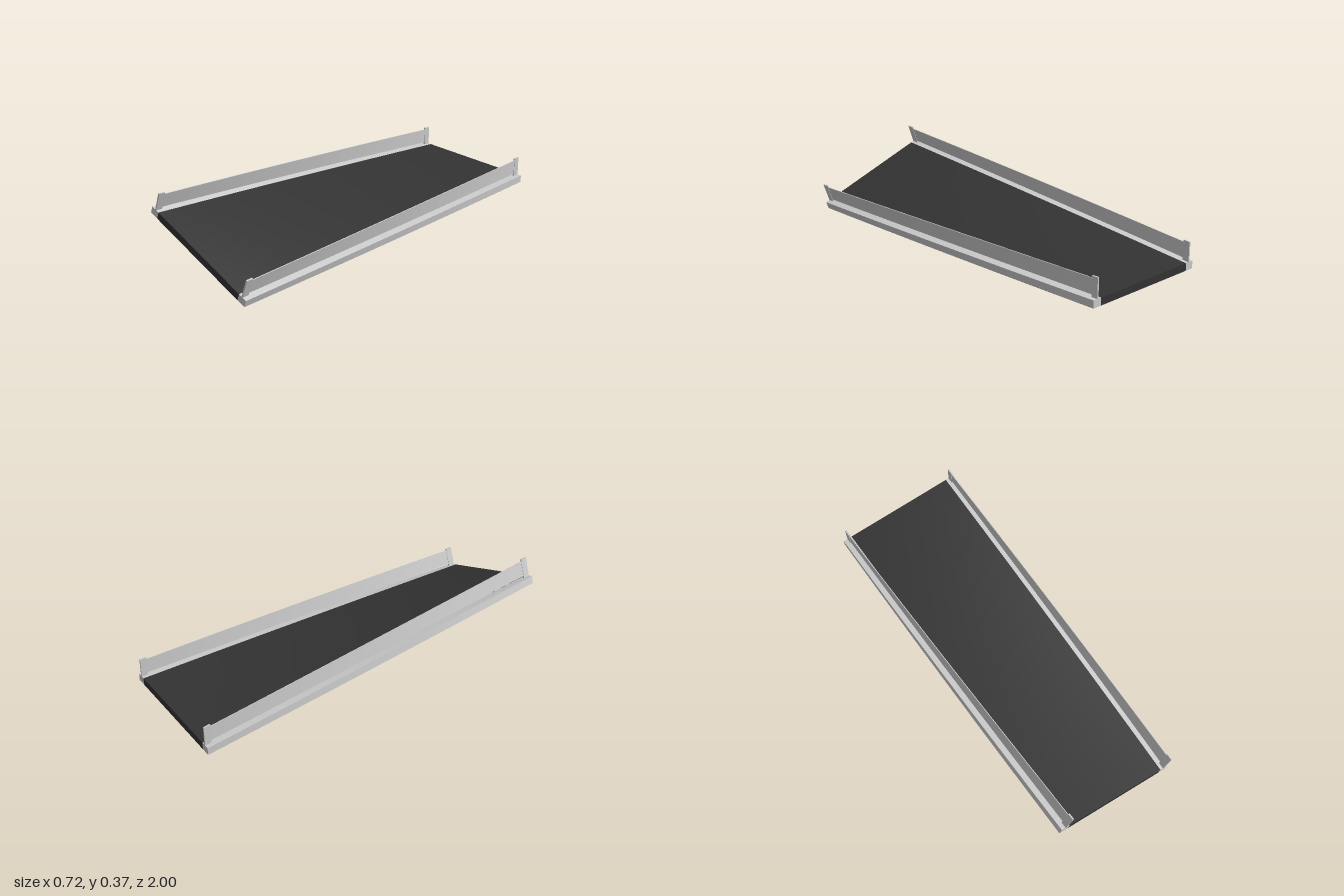
import * as THREE from 'three';

const TWIST = THREE.MathUtils.degToRad(20.2); // bank angle at the front end
const DECK_H = 0.039;
const HALF_W = 0.359;
const CURB_W = 0.05;

// Bank a cross-section point progressively from flat (z = -1) to tilted (z = 1)
function bank(geometry) {
  const p = geometry.attributes.position;
  for (let i = 0; i < p.count; i++) {
    const u = p.getX(i), v = p.getY(i), z = p.getZ(i);
    const t = (z + 1) / 2;
    const a = -TWIST * t;
    p.setXYZ(
      i,
      -0.004 + u * Math.cos(a) - v * Math.sin(a),
      0.006 + 0.118 * t + u * Math.sin(a) + v * Math.cos(a),
      z
    );
  }
  geometry.computeVertexNormals();
  return geometry;
}

// Banked bar spanning the given ranges across, upward and along the road
function bar(name, material, [u0, u1], [v0, v1], [z0, z1], across = 1) {
  const along = Math.max(1, Math.round((z1 - z0) * 16));
  const g = new THREE.BoxGeometry(u1 - u0, v1 - v0, z1 - z0, across, 1, along);
  g.translate((u0 + u1) / 2, (v0 + v1) / 2, (z0 + z1) / 2);
  const mesh = new THREE.Mesh(bank(g), material);
  mesh.name = name;
  return mesh;
}

export function createModel() {
  const group = new THREE.Group();
  group.name = 'bankedRoad';
  const grey = new THREE.MeshStandardMaterial({ color: 0xcccccc });
  const asphalt = new THREE.MeshStandardMaterial({ color: 0x333333 });

  // Road deck
  const inner = HALF_W - CURB_W;
  group.add(bar('roadDeck', asphalt, [-inner, inner], [0, DECK_H], [-1, 1], 8));

  for (const [side, s] of [['left', 1], ['right', -1]]) {
    const range = (a, b) => (s > 0 ? [a, b] : [-b, -a]);

    // Curb flush with the deck
    group.add(bar(side + 'Curb', grey, range(inner, HALF_W), [0, DECK_H], [-1, 1]));

    // Barrier panel, raised just clear of the curb
    group.add(bar(side + 'BarrierPanel', grey, range(0.329, 0.333),
      [DECK_H + 0.012, DECK_H + 0.092], [-0.99, 0.99]));

    // End posts
    for (const [end, z0] of [['Back', -1], ['Front', 0.965]]) {
      group.add(bar(side + end + 'Post', grey, range(0.327, 0.335),
        [DECK_H, DECK_H + 0.103], [z0, z0 + 0.035]));
    }
  }
  return group;
}
